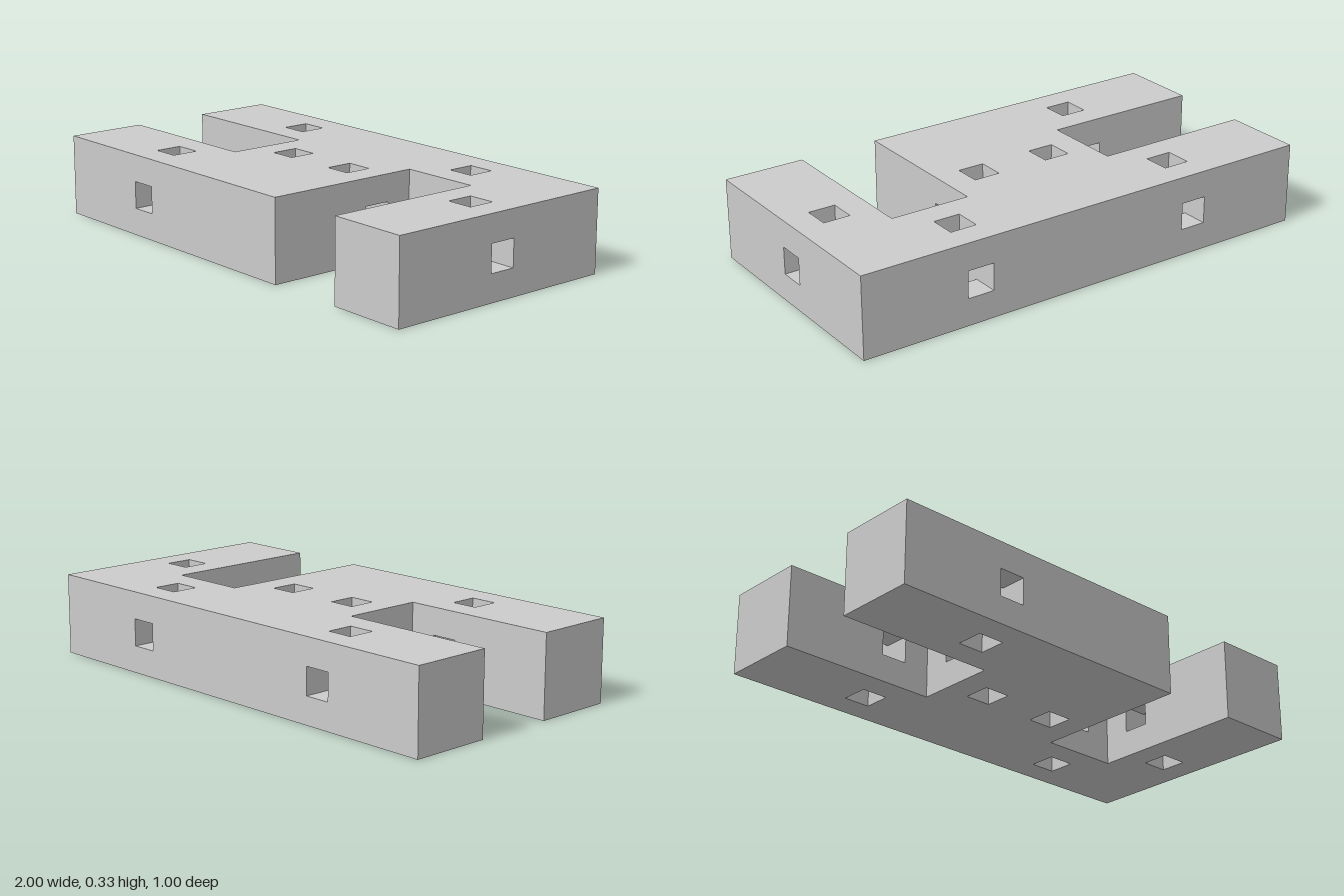
import * as THREE from 'three';
import { mergeGeometries } from 'three/addons/utils/BufferGeometryUtils.js';

// Worked in ninths of a unit: bars are 3 x 3 thick, tunnels 1 x 1.
const V = (x, y, z) => new THREE.Vector3(x, y, z);
const X = V(1, 0, 0), Y = V(0, 1, 0), Z = V(0, 0, 1);
const H = 3;

// Plan outline as [x, z]
const outline = [
  [-9, -4.5], [9, -4.5], [9, 4.5], [6, 4.5], [6, -1.5], [3, -1.5],
  [3, 4.5], [-9, 4.5], [-9, 1.5], [-3, 1.5], [-3, -1.5], [-9, -1.5],
];

// Horizontal tunnels, with the places along them where vertical shafts cross
const tunnels = [
  { axis: Z, at: V(-4.5, 1.5, 3), length: 3, crossings: [0] },
  { axis: Z, at: V(-4.5, 1.5, -3), length: 3, crossings: [0] },
  { axis: Z, at: V(4.5, 1.5, -3), length: 3, crossings: [0] },
  { axis: X, at: V(0, 1.5, 0), length: 6, crossings: [-1.5, 1.5] },
  { axis: X, at: V(7.5, 1.5, 0), length: 3, crossings: [0] },
];

const along = (p, dir, t) => p.clone().addScaledVector(dir, t);

const rect = (w, h, cx = 0, cy = 0) => [[-1, -1], [1, -1], [1, 1], [-1, 1]]
  .map(([a, b]) => new THREE.Vector2(cx + a * w / 2, cy + b * h / 2));

// Flat panel facing u x v, with unit square openings
function panel(center, u, v, points, openings = []) {
  const shape = new THREE.Shape(points);
  for (const [a, b] of openings) shape.holes.push(new THREE.Path(rect(1, 1, a, b)));
  const m = new THREE.Matrix4().makeBasis(u, v, u.clone().cross(v)).setPosition(center);
  return new THREE.ShapeGeometry(shape).applyMatrix4(m);
}

// Square tube seen from inside; openingsFor(side) gives cut-outs along each wall
function tube(center, axis, length, openingsFor) {
  const sides = [X, Y, Z].filter((d) => d !== axis).flatMap((d) => [d, d.clone().negate()]);
  return sides.map((side) => panel(along(center, side, 0.5), axis,
    axis.clone().cross(side), rect(length, 1), openingsFor(side).map((t) => [t, 0])));
}

export function createModel() {
  const group = new THREE.Group();
  const material = new THREE.MeshStandardMaterial({ color: 0xcccccc, flatShading: true });
  const add = (name, parts) => {
    const geometry = mergeGeometries(parts).scale(1 / 9, 1 / 9, 1 / 9);
    const mesh = new THREE.Mesh(geometry, material);
    mesh.name = name;
    group.add(mesh);
  };

  const shafts = tunnels.flatMap((t) => t.crossings.map((c) => ({ axis: t.axis, at: along(t.at, t.axis, c) })));
  const mouths = tunnels.flatMap((t) => [-0.5, 0.5].map((s) => along(t.at, t.axis, s * t.length)));

  // Top and bottom faces
  const cap = (y, sign) => panel(V(0, y, 0), X, V(0, 0, sign),
    outline.map(([x, z]) => new THREE.Vector2(x, sign * z)),
    shafts.map(({ at }) => [at.x, sign * at.z]));
  add('topFace', [cap(H, -1)]);
  add('bottomFace', [cap(0, 1)]);

  // Side walls, opened where a tunnel ends on them
  add('sideWalls', outline.map(([x, z], i) => {
    const [x2, z2] = outline[(i + 1) % outline.length];
    const center = V((x + x2) / 2, H / 2, (z + z2) / 2);
    const u = V(x - x2, 0, z - z2);
    const width = u.length();
    u.normalize();
    const normal = u.clone().cross(Y);
    const openings = mouths.map((m) => m.clone().sub(center))
      .filter((d) => Math.abs(d.dot(normal)) < 0.01 && Math.abs(d.dot(u)) < width / 2)
      .map((d) => [d.dot(u), 0]);
    return panel(center, u, Y, rect(width, H), openings);
  }));

  // Tunnel and shaft linings
  add('horizontalTunnels', tunnels.flatMap((t) => tube(t.at, t.axis, t.length, () => t.crossings)));
  add('verticalShafts', shafts.flatMap((s) => tube(s.at, Y, H,
    (side) => (Math.abs(side.dot(s.axis)) > 0.5 ? [0] : []))));

  return group;
}
